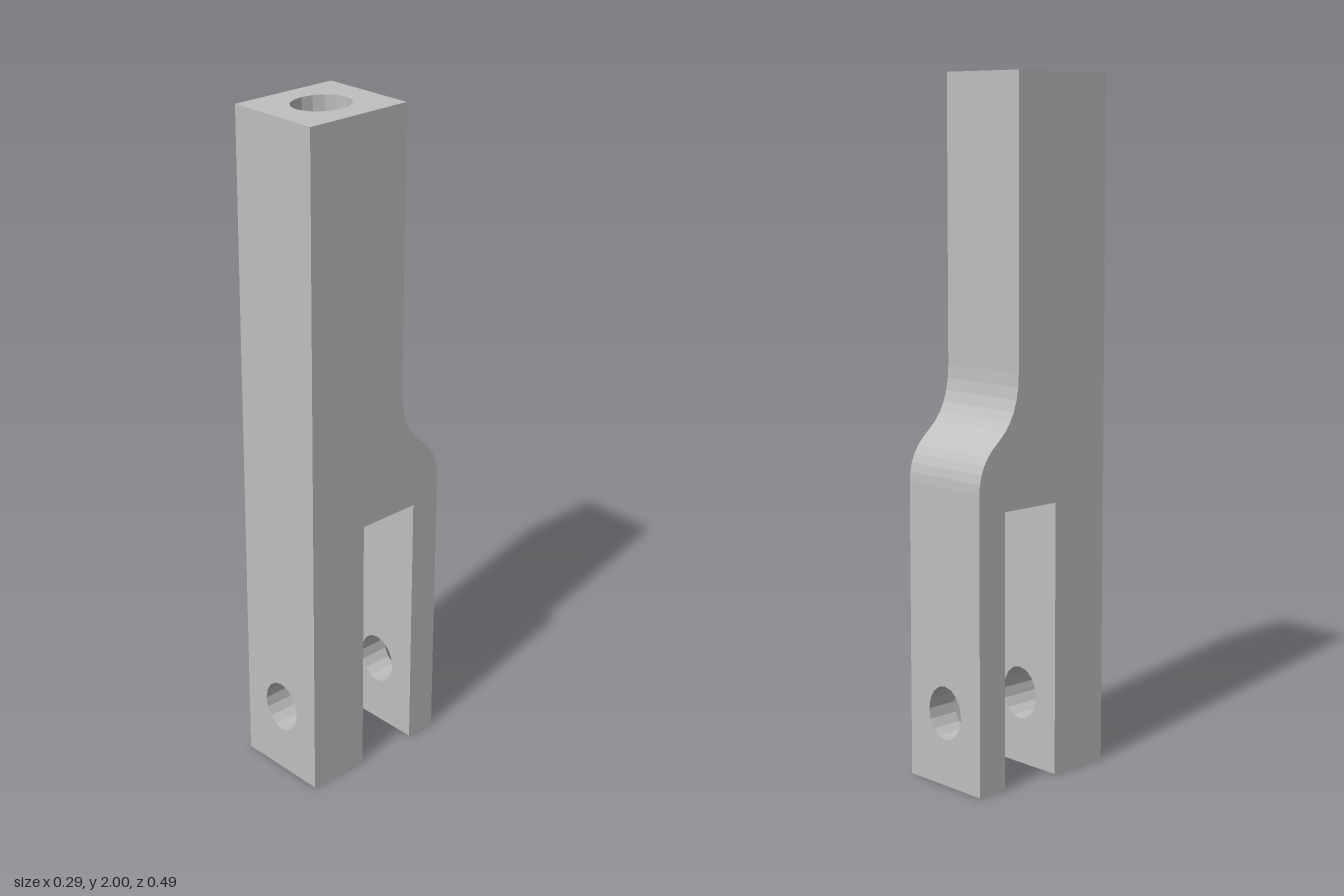
import * as THREE from 'three';
import { mergeGeometries } from 'three/addons/utils/BufferGeometryUtils.js';

const W = 0.145, FRONT = 0.243, BACK = -0.243, UPPER_BACK = -0.095, H = 2;
const SLOT_FRONT = 0.05, SLOT_BACK = -0.147, SLOT_TOP = 0.8;
const SEGMENTS = 16;
const PIN = { c: 0.213, rx: 0.067, ry: 0.078 };
const BOLT = { c: 0.073, rx: 0.076, ry: 0.088, floor: 1.2 };

// Unshared vertices give crisp facets
function faceted(geometry) {
  const g = geometry.index ? geometry.toNonIndexed() : geometry;
  g.deleteAttribute('uv');
  g.computeVertexNormals();
  return g;
}

// Full-width rectangle from v0 to v1, with an optional elliptical hole
function panel(v0, v1, hole) {
  const shape = new THREE.Shape([[-W, v0], [W, v0], [W, v1], [-W, v1]].map((p) => new THREE.Vector2(...p)));
  if (hole) {
    const ellipse = new THREE.EllipseCurve(0, hole.c, hole.rx, hole.ry);
    shape.holes.push(new THREE.Path(ellipse.getPoints(SEGMENTS).slice(0, -1)));
  }
  return new THREE.ShapeGeometry(shape);
}

// Upright panel facing +z (dir 1) or -z (dir -1)
const upright = (y0, y1, z, dir, hole) =>
  panel(y0, y1, hole).rotateY(dir > 0 ? 0 : Math.PI).translate(0, 0, z);

// Level panel facing up (dir 1) or down (dir -1)
const level = (z0, z1, y, dir, hole) =>
  panel(Math.min(-dir * z0, -dir * z1), Math.max(-dir * z0, -dir * z1), hole && { ...hole, c: -dir * hole.c })
    .rotateX(-dir * Math.PI / 2).translate(0, y, 0);

// Hole wall: an open tube mirrored so that it faces inwards
const bore = (hole, length) =>
  new THREE.CylinderGeometry(1, 1, length, SEGMENTS, 1, true).scale(-hole.rx, 1, hole.ry);

const pinBore = (z0, z1) =>
  bore(PIN, z1 - z0).rotateX(Math.PI / 2).translate(0, PIN.c, (z0 + z1) / 2);

// Back outline as (z, y): straight shank, S-shaped shoulder
function backOutline() {
  const v = (z, y) => new THREE.Vector2(z, y);
  const path = new THREE.CurvePath();
  const hollow = new THREE.QuadraticBezierCurve(v(UPPER_BACK, 1.18), v(UPPER_BACK, 1.06), v(-0.17, 1.0));
  const round = new THREE.QuadraticBezierCurve(v(-0.17, 1.0), v(BACK, 0.945), v(BACK, 0.86));
  path.add(hollow);
  path.add(round);
  return [v(UPPER_BACK, H), ...path.getPoints(6)];
}

// Skin joining the back outline across the width
function backSkin(outline) {
  const pos = [];
  for (let i = 0; i < outline.length - 1; i++) {
    const a = outline[i], b = outline[i + 1];
    pos.push(W, a.y, a.x, W, b.y, b.x, -W, b.y, b.x);
    pos.push(W, a.y, a.x, -W, b.y, b.x, -W, a.y, a.x);
  }
  return new THREE.BufferGeometry().setAttribute('position', new THREE.Float32BufferAttribute(pos, 3));
}

// Side wall facing +x (dir 1) or -x (dir -1)
function sideWall(outline, dir) {
  const points = [
    [FRONT, 0], [FRONT, H], ...outline.map((p) => [p.x, p.y]), [BACK, 0],
    [SLOT_BACK, 0], [SLOT_BACK, SLOT_TOP], [SLOT_FRONT, SLOT_TOP], [SLOT_FRONT, 0],
  ].map(([z, y]) => new THREE.Vector2(-dir * z, y));
  return new THREE.ShapeGeometry(new THREE.Shape(points)).rotateY(dir * Math.PI / 2).translate(dir * W, 0, 0);
}

export function createModel() {
  const steel = new THREE.MeshStandardMaterial({ color: 0xbfbfbf });
  steel.name = 'grey steel';
  const model = new THREE.Group();
  model.name = 'forkedRodEnd';

  const add = (name, parts) => {
    const mesh = new THREE.Mesh(mergeGeometries(parts.map(faceted)), steel);
    mesh.name = name;
    model.add(mesh);
  };

  const outline = backOutline();
  const shoulderEnd = outline[outline.length - 1].y;

  // Outer skin of the shank and fork
  add('forkBody', [
    sideWall(outline, 1),
    sideWall(outline, -1),
    backSkin(outline),
    upright(0, H, FRONT, 1, PIN),
    upright(0, shoulderEnd, BACK, -1, PIN),
    level(UPPER_BACK, FRONT, H, 1, BOLT),
    level(SLOT_FRONT, FRONT, 0, -1),
    level(BACK, SLOT_BACK, 0, -1),
  ]);

  // Inner faces of the slot between the prongs
  add('forkSlot', [
    upright(0, SLOT_TOP, SLOT_FRONT, -1, PIN),
    upright(0, SLOT_TOP, SLOT_BACK, 1, PIN),
    level(SLOT_BACK, SLOT_FRONT, SLOT_TOP, -1),
  ]);

  // Cross holes through both prongs
  add('pinHoles', [pinBore(SLOT_FRONT, FRONT), pinBore(BACK, SLOT_BACK)]);

  // Blind hole in the top end
  add('boltHole', [
    bore(BOLT, H - BOLT.floor).translate(0, (H + BOLT.floor) / 2, BOLT.c),
    new THREE.CircleGeometry(1, SEGMENTS).rotateX(-Math.PI / 2)
      .scale(BOLT.rx, 1, BOLT.ry).translate(0, BOLT.floor, BOLT.c),
  ]);

  return model;
}
